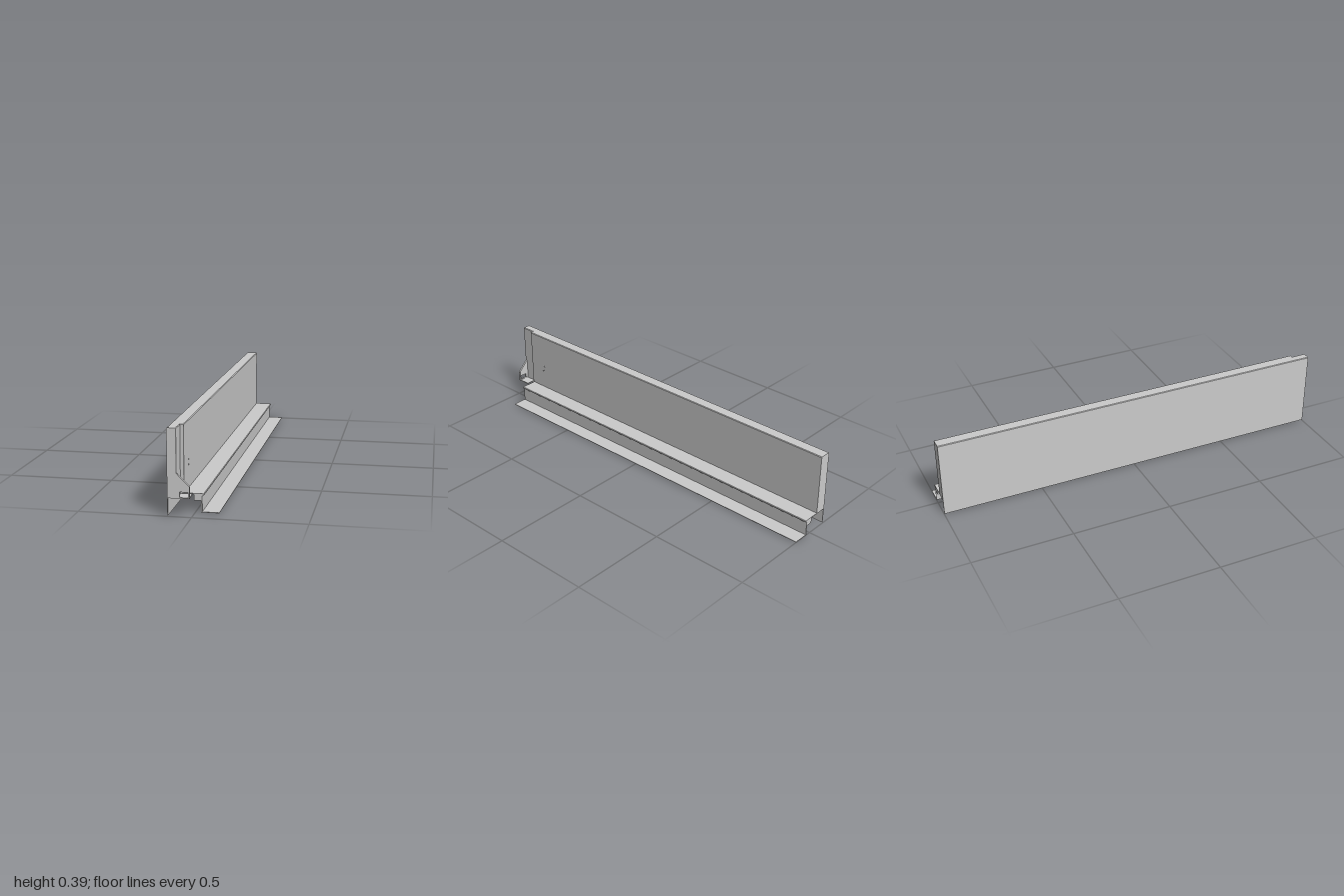
import * as THREE from 'three';

const material = new THREE.MeshStandardMaterial({ color: 0xcccccc, side: THREE.DoubleSide });

// Extrude an x/y profile from z0 to z1
function extrude(name, points, z0, z1, hole) {
  const toVec = ([x, y]) => new THREE.Vector2(x, y);
  const shape = new THREE.Shape(points.map(toVec));
  if (hole) shape.holes.push(new THREE.Path(hole.map(toVec)));
  const geometry = new THREE.ExtrudeGeometry(shape, { depth: z1 - z0, bevelEnabled: false });
  geometry.translate(0, 0, z0);
  const mesh = new THREE.Mesh(geometry, material);
  mesh.name = name;
  return mesh;
}

const rect = (x0, x1, y0, y1) => [[x0, y0], [x1, y0], [x1, y1], [x0, y1]];

// Rectangle whose top corners are slightly chamfered
const slab = (x0, x1, y0, y1, c = 0.003) => [
  [x0, y0], [x1, y0], [x1, y1 - c], [x1 - c, y1], [x0 + c, y1], [x0, y1 - c],
];

export function createModel() {
  const model = new THREE.Group();
  model.name = 'wallPanelWithRail';

  // Long upright panel, thinner at its front end
  model.add(extrude('panel', slab(-0.105, -0.048, 0.081, 0.387), -1, 0.925));
  model.add(extrude('panelEnd', slab(-0.105, -0.064, 0.081, 0.387), 0.925, 1));

  // Thin skirt hanging below the back face
  model.add(extrude('skirt', rect(-0.105, -0.102, 0.004, 0.081), -1, 1));

  // Stepped rail with ledge, lip, web and floor flange
  model.add(extrude('rail', [
    [-0.05, 0.08], [-0.007, 0.08], [-0.007, 0.053], [0.025, 0.053],
    [0.025, 0], [0.105, 0], [0.105, 0.003], [0.03, 0.003], [0.03, 0.075],
    [0.036, 0.075], [0.038, 0.077], [0.038, 0.082], [0.036, 0.084], [-0.05, 0.084],
  ], -1, 0.92));

  // End bracket: gusset plate with a window, and its base plate
  model.add(extrude('gusset', [
    [-0.064, 0.081], [-0.008, 0.081], [-0.008, 0.135], [-0.064, 0.19],
  ], 0.99, 1, rect(-0.05, -0.013, 0.086, 0.11)));
  model.add(extrude('bracketBase', rect(-0.06, -0.009, 0.081, 0.085), 0.932, 0.992));

  // Small curved mark on the panel's front face
  const curve = new THREE.QuadraticBezierCurve3(
    new THREE.Vector3(-0.048, 0.18, 0.84),
    new THREE.Vector3(-0.048, 0.2, 0.815),
    new THREE.Vector3(-0.048, 0.215, 0.835),
  );
  const mark = new THREE.Mesh(new THREE.TubeGeometry(curve, 12, 0.001, 6), material);
  mark.name = 'curvedMark';
  model.add(mark);

  return model;
}
